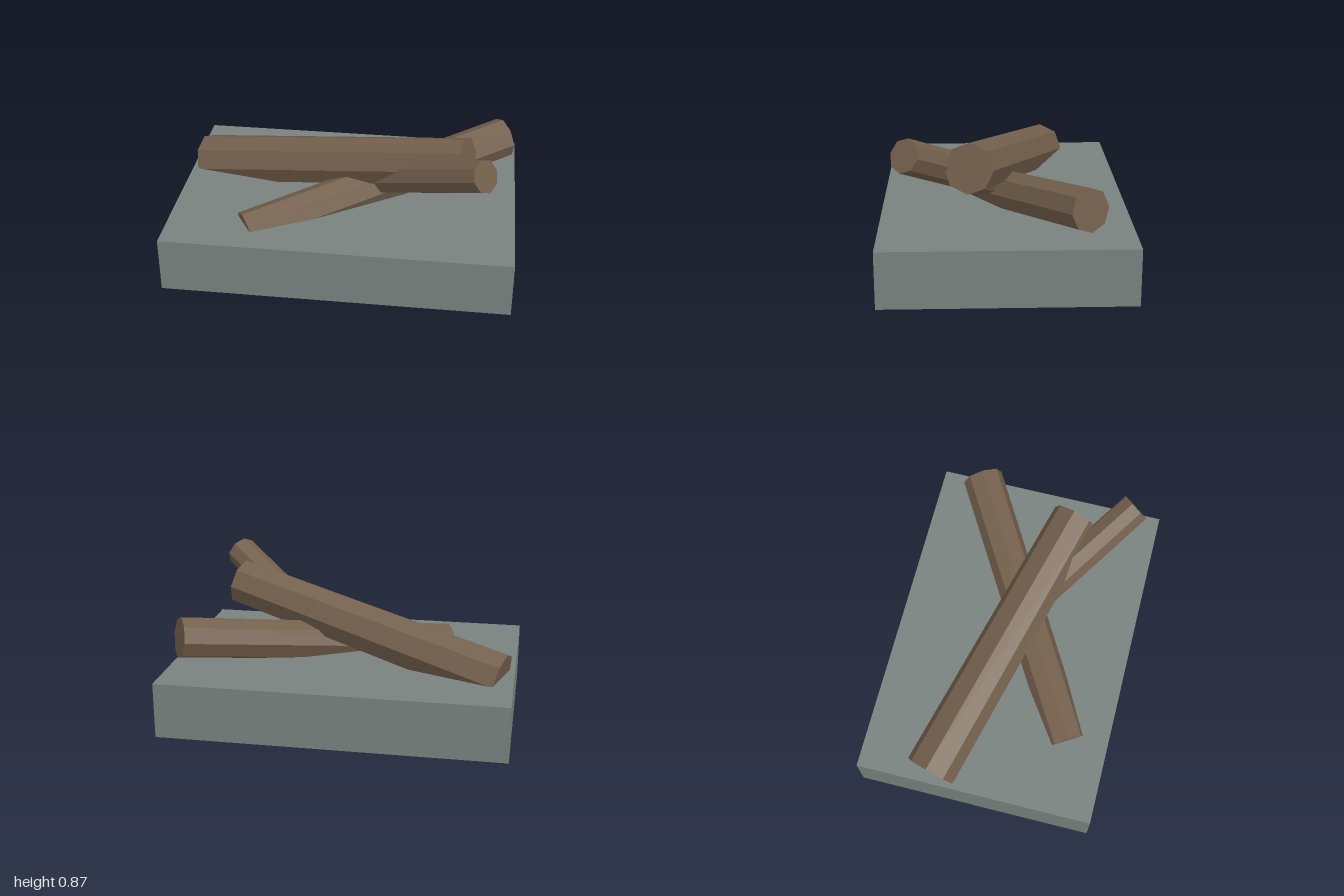
import * as THREE from 'three';

const wood = new THREE.MeshStandardMaterial({ color: 0x735f4c, flatShading: true });
const stone = new THREE.MeshStandardMaterial({ color: 0x78827e, flatShading: true });

// Octagonal log between two end centres, with one ridge facing up
function makeLog(name, from, to, rFrom, rTo) {
  const a = new THREE.Vector3(...from);
  const b = new THREE.Vector3(...to);
  const axis = b.clone().sub(a);
  const length = axis.length();
  axis.normalize();
  const side = new THREE.Vector3().crossVectors(axis, new THREE.Vector3(0, 1, 0)).normalize();
  const ridge = new THREE.Vector3().crossVectors(side, axis);
  const log = new THREE.Mesh(new THREE.CylinderGeometry(rTo, rFrom, length, 8), wood);
  log.name = name;
  log.quaternion.setFromRotationMatrix(new THREE.Matrix4().makeBasis(side, axis, ridge));
  log.position.copy(a).add(b).multiplyScalar(0.5);
  return log;
}

export function createModel() {
  const group = new THREE.Group();
  group.name = 'logPile';

  // Ground slab
  const slab = new THREE.Mesh(new THREE.BoxGeometry(2, 0.325, 1.405), stone);
  slab.name = 'groundSlab';
  slab.position.y = 0.1625;
  group.add(slab);

  // Logs, partly sunk into the slab and resting on each other
  group.add(
    makeLog('mainLog', [-0.925, 0.32, -0.275], [0.71, 0.682, 0.203], 0.153, 0.14),
    makeLog('crossLog', [-0.545, 0.272, 0.46], [0.92, 0.514, -0.433], 0.118, 0.122),
    makeLog('branchLog', [0.23, 0.47, 0.075], [0.81, 0.787, 0.54], 0.1, 0.095),
  );
  return group;
}
